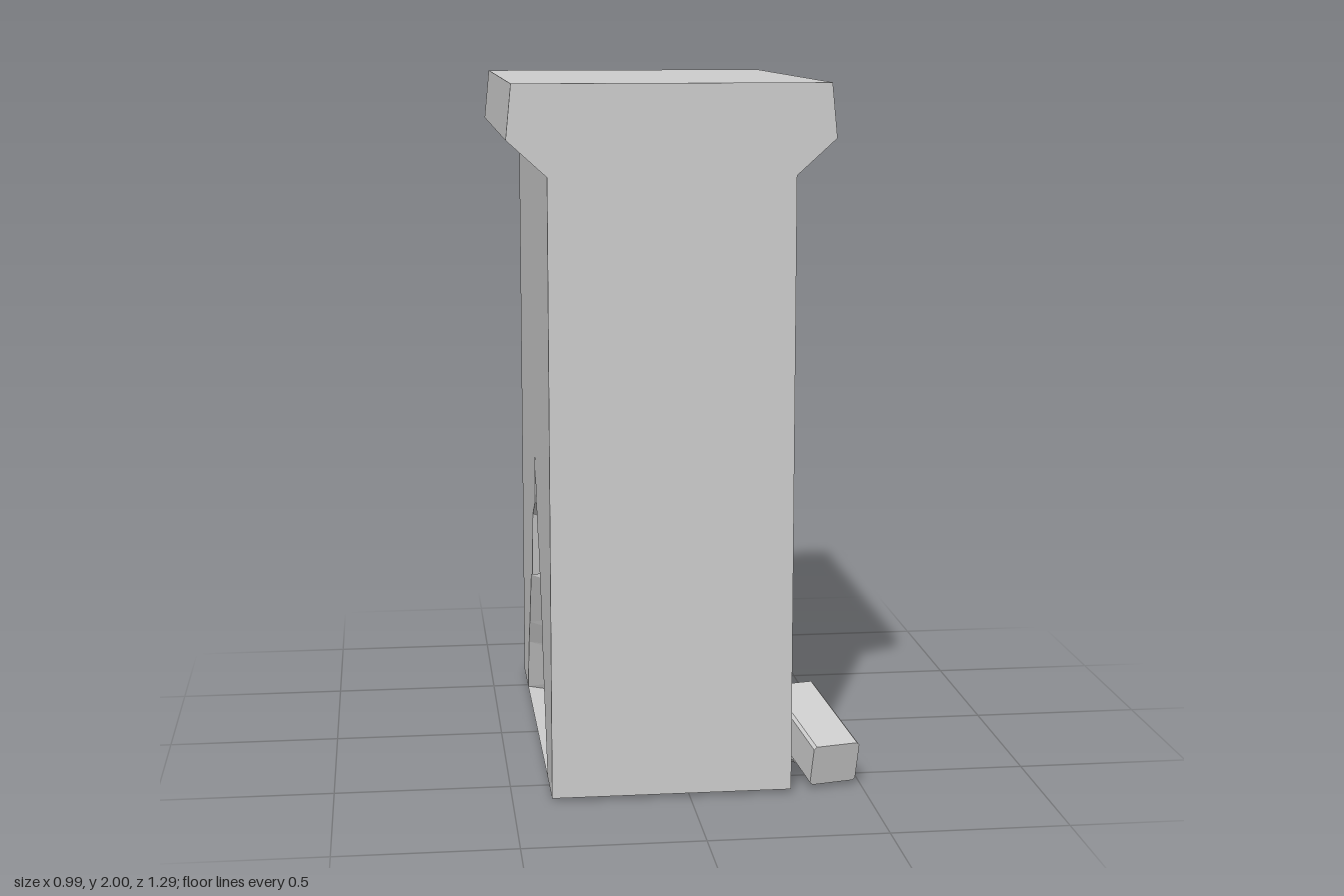
import * as THREE from 'three';

const material = new THREE.MeshStandardMaterial({ color: 0xcccccc, flatShading: true, side: THREE.DoubleSide });
const HALF = 0.645, BASE = 0.01, SHOULDER = 1.75, LEFT = -0.39, RIGHT = 0.29;

// Jagged breach as [z, y]: the wide rim on both wall faces and the narrow ring inside
const rim = [[0.46, BASE], [0.35, 0.22], [0.31, 0.29], [0.255, 0.44], [0.15, 0.62], [0.1, 0.665], [0, 0.87],
  [-0.01, 0.72], [-0.12, 0.66], [-0.17, 0.455], [-0.23, 0.44], [-0.33, 0.26], [-0.38, 0.18], [-0.45, BASE]];
const throat = [[0.19, 0], [0.155, 0.07], [0.12, 0.16], [0.08, 0.27], [0.05, 0.43], [0.02, 0.47], [-0.005, 0.51],
  [-0.005, 0.58], [-0.04, 0.54], [-0.06, 0.49], [-0.06, 0.35], [-0.14, 0.19], [-0.17, 0.13], [-0.24, 0]];

const shapeOf = (points) => new THREE.Shape(points.map(([x, y]) => new THREE.Vector2(x, y)));

function addMesh(group, name, geometry) {
  const mesh = new THREE.Mesh(geometry, material);
  mesh.name = name;
  group.add(mesh);
  return mesh;
}

// Wall body: notched outline pushed through the thickness, middle ring pulled in to the throat
function wallGeometry() {
  const outline = [[-HALF, BASE], ...rim.map(([z, y]) => [-z, y]), [HALF, BASE], [HALF, SHOULDER], [-HALF, SHOULDER]];
  const depth = RIGHT - LEFT;
  const geometry = new THREE.ExtrudeGeometry(shapeOf(outline), { depth, steps: 2, bevelEnabled: false });
  const p = geometry.attributes.position;
  for (let i = 0; i < p.count; i++) {
    if (Math.abs(p.getZ(i) - depth / 2) > 0.01) continue;
    const k = rim.findIndex(([z, y]) => Math.hypot(p.getX(i) + z, p.getY(i) - y) < 1e-4);
    if (k >= 0) p.setXY(i, -throat[k][0], throat[k][1]);
  }
  geometry.rotateY(Math.PI / 2).translate(LEFT, 0, 0);
  geometry.computeVertexNormals();
  return geometry;
}

// Stone block with chamfered long edges, centred on its middle
function stoneGeometry(w, h, length, c) {
  const x = w / 2, y = h / 2;
  const section = shapeOf([[-x + c, -y], [x - c, -y], [x, -y + c], [x, y - c],
    [x - c, y], [-x + c, y], [-x, y - c], [-x, -y + c]]);
  return new THREE.ExtrudeGeometry(section, { depth: length, bevelEnabled: false }).translate(0, 0, -length / 2);
}

export function createModel() {
  const model = new THREE.Group();
  model.name = 'breachedWall';

  addMesh(model, 'wallBody', wallGeometry());

  // Floor running through the breach
  const floor = addMesh(model, 'breachFloor', new THREE.PlaneGeometry(RIGHT - LEFT, 0.9));
  floor.rotation.x = -Math.PI / 2;
  floor.position.set((LEFT + RIGHT) / 2, BASE, 0);

  // Flared coping along the top
  const coping = shapeOf([[LEFT, SHOULDER], [RIGHT, SHOULDER], [0.4, 1.85], [0.385, 2], [-0.485, 2], [-0.5, 1.85]]);
  addMesh(model, 'coping',
    new THREE.ExtrudeGeometry(coping, { depth: HALF * 2, bevelEnabled: false }).translate(0, 0, -HALF));

  // Fallen stones beside the breach
  const stones = [
    { name: 'longStone', size: [0.14, 0.125, 0.35, 0.008], at: [0.383, 0.115, 0.455], turn: [0.25, 0.22, 0, 'YXZ'] },
    { name: 'smallStone', size: [0.18, 0.095, 0.09, 0.012], at: [0.382, 0.055, 0.33], turn: [0, 0.62, 0, 'XYZ'] },
    { name: 'leaningStone', size: [0.14, 0.22, 0.1, 0.025], at: [0.38, 0.125, -0.45], turn: [0, Math.PI / 2 + 0.12, 0.4, 'ZYX'] },
  ];
  for (const { name, size, at, turn } of stones) {
    const stone = addMesh(model, name, stoneGeometry(...size));
    stone.position.set(...at);
    stone.rotation.set(...turn);
  }
  return model;
}
